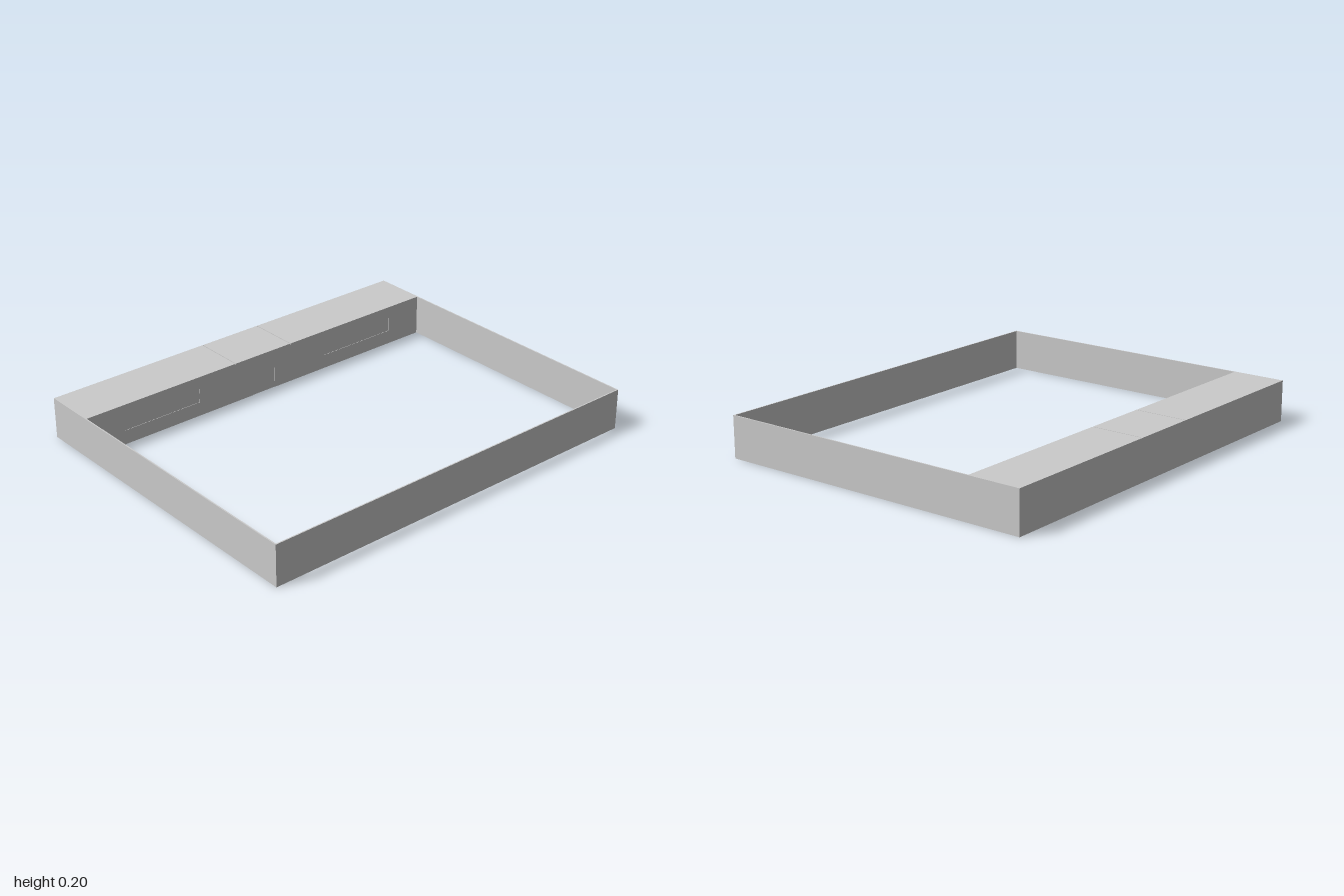
import * as THREE from 'three';

const T = 0.006;            // sheet thickness
const H = 0.2, W = 2, D = 1.6;
const BACK = -0.8, FACE = -0.54; // depth range of the rear compartments
const DIV = 0.165;          // divider offset from the centre
const GAP = 0.002;          // seam between the roof panels
const mat = new THREE.MeshStandardMaterial({ color: 0xcccccc, side: THREE.DoubleSide });

export function createModel() {
  const model = new THREE.Group();
  const add = (name, geometry, x, y, z) => {
    const mesh = new THREE.Mesh(geometry, mat);
    mesh.name = name;
    mesh.position.set(x, y, z);
    model.add(mesh);
  };
  const box = (name, w, h, d, x, y, z) => add(name, new THREE.BoxGeometry(w, h, d), x, y, z);

  // Perimeter walls
  box('frontWall', W, H, T, 0, H / 2, D / 2 - T / 2);
  box('backWall', W, H, T, 0, H / 2, BACK + T / 2);
  for (const s of [-1, 1]) {
    const side = s > 0 ? 'left' : 'right';
    box(side + 'Wall', T, H, D - 2 * T, s * (W / 2 - T / 2), H / 2, 0);
  }

  // Roof of the rear compartments, split in three at the dividers
  const depth = FACE - BACK - T, zMid = (BACK + T + FACE) / 2;
  const roof = (name, x0, x1) =>
    box(name, x1 - x0, T, depth, (x0 + x1) / 2, H - T / 2, zMid);
  roof('rightRoof', -W / 2 + T, -DIV - GAP);
  roof('middleRoof', -DIV + GAP, DIV - GAP);
  roof('leftRoof', DIV + GAP, W / 2 - T);

  // Dividers between the compartments
  for (const s of [-1, 1]) {
    box(s > 0 ? 'leftDivider' : 'rightDivider', 0.01, H - T, depth - T, s * DIV, (H - T) / 2, zMid - T / 2);
  }

  // Compartment front: a sheet with a door notch and two window openings
  const door = { w: 0.067, h: 0.13 };
  const win = { x0: 0.38, x1: 0.8, y0: 0.07, y1: 0.14 };
  const half = W / 2 - T, top = H - T;
  const sheet = new THREE.Shape([
    [-half, 0], [-door.w, 0], [-door.w, door.h], [door.w, door.h],
    [door.w, 0], [half, 0], [half, top], [-half, top],
  ].map(([x, y]) => new THREE.Vector2(x, y)));
  for (const s of [-1, 1]) {
    sheet.holes.push(new THREE.Path([
      [win.x0, win.y0], [win.x0, win.y1], [win.x1, win.y1], [win.x1, win.y0],
    ].map(([x, y]) => new THREE.Vector2(s * x, y))));
  }
  add('compartmentFront', new THREE.ExtrudeGeometry(sheet, { depth: T, bevelEnabled: false }), 0, 0, FACE - T);

  // Thin panes and door set back inside the openings
  const zPane = FACE - T / 2;
  for (const s of [-1, 1]) {
    box(s > 0 ? 'leftWindowPane' : 'rightWindowPane', win.x1 - win.x0, win.y1 - win.y0, T / 3,
      s * (win.x0 + win.x1) / 2, (win.y0 + win.y1) / 2, zPane);
  }
  box('door', 2 * door.w, door.h, T / 3, 0, door.h / 2, zPane);

  return model;
}
